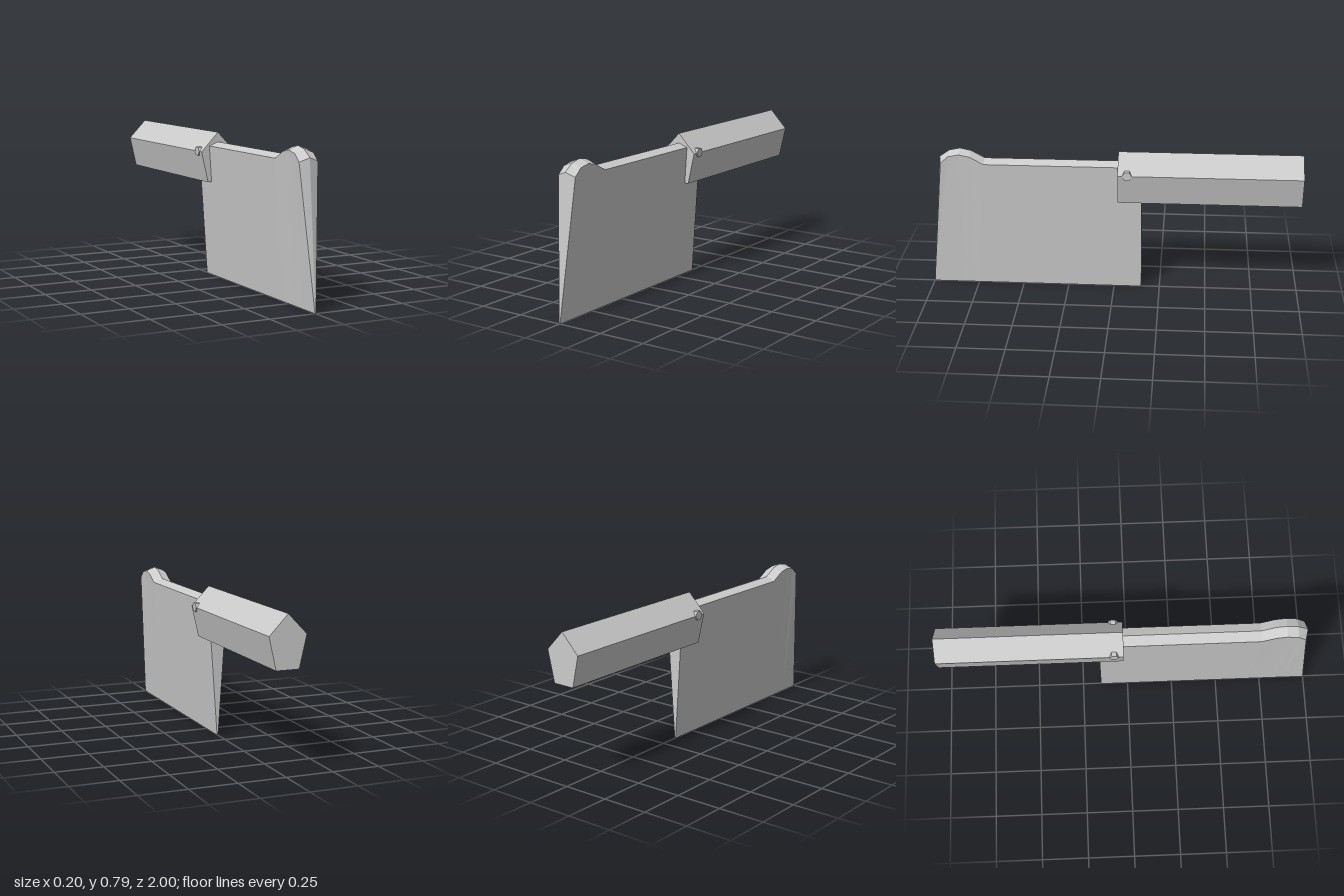
import * as THREE from 'three';

const material = () => new THREE.MeshStandardMaterial({ color: 0xcccccc, flatShading: true });

function addMesh(parent, name, geometry) {
  const mesh = new THREE.Mesh(geometry, material());
  mesh.name = name;
  parent.add(mesh);
  return mesh;
}

// Wedge blade: five-point cross-sections lofted from the tip back to the heel
function bladeGeometry() {
  const edge = 0.003, half = 0.052, drop = 0.02;
  // [z at edge, z at shoulder, z at spine, y of spine]
  const stations = [
    [1, 0.922, 0.934, 0.74],
    [0.88, 0.88, 0.88, 0.778],
    [0.822, 0.822, 0.822, 0.79],
    [0.765, 0.765, 0.765, 0.778],
    [0.692, 0.692, 0.692, 0.738],
    [-0.15, -0.15, -0.15, 0.738],
  ];
  const rings = stations.map(([zEdge, zSide, zSpine, y]) => [
    [-edge, 0, zEdge], [edge, 0, zEdge],
    [half, y - drop, zSide], [0, y, zSpine], [-half, y - drop, zSide],
  ]);
  const positions = [];
  const tri = (...corners) => corners.forEach((p) => positions.push(...p));

  for (let i = 0; i < rings.length - 1; i++) {
    for (let j = 0; j < 5; j++) {
      const k = (j + 1) % 5;
      const a = rings[i][j], b = rings[i][k], c = rings[i + 1][k], d = rings[i + 1][j];
      tri(a, d, c);
      tri(a, c, b);
    }
  }
  // Ridged front face and flat heel, fanned from the spine
  const front = rings[0], back = rings[rings.length - 1];
  for (const [p, q] of [[4, 0], [0, 1], [1, 2]]) {
    tri(front[3], front[p], front[q]);
    tri(back[3], back[q], back[p]);
  }
  const geometry = new THREE.BufferGeometry();
  geometry.setAttribute('position', new THREE.Float32BufferAttribute(positions, 3));
  geometry.computeVertexNormals();
  return geometry;
}

// Five-sided handle bar
function handleGeometry() {
  const section = new THREE.Shape([
    [0, 0.79], [-0.098, 0.688], [-0.06, 0.522], [0.06, 0.522], [0.098, 0.688],
  ].map(([x, y]) => new THREE.Vector2(x, y)));
  return new THREE.ExtrudeGeometry(section, { depth: 0.977, bevelEnabled: false })
    .translate(0, 0, -1);
}

export function createModel() {
  const model = new THREE.Group();
  model.name = 'cleaver';
  addMesh(model, 'blade', bladeGeometry());
  addMesh(model, 'handle', handleGeometry());

  // Hexagonal pin passing through the handle
  const pin = addMesh(model, 'pin', new THREE.CylinderGeometry(0.026, 0.026, 0.204, 6));
  pin.rotation.z = Math.PI / 2;
  pin.position.set(0, 0.688, -0.073);
  return model;
}
